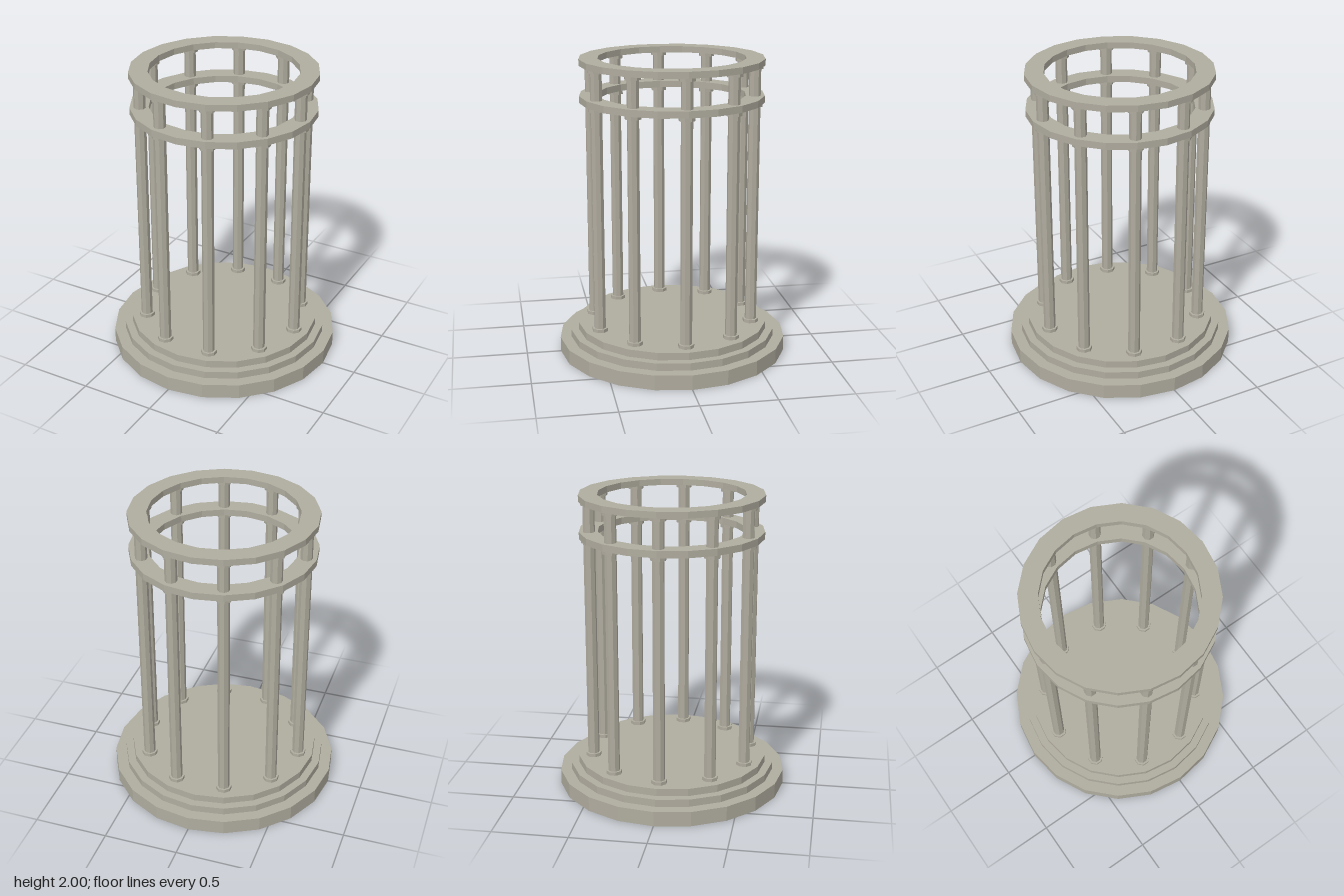
import * as THREE from 'three';

export function createModel() {
  const model = new THREE.Group();
  model.name = 'roundColonnade';
  const stone = new THREE.MeshStandardMaterial({ color: 0xb0ac9f });
  stone.name = 'stone';
  stone.flatShading = true;

  const SIDES = 20;
  const COLUMNS = 10;
  const COLUMN_CIRCLE = 0.542;

  function add(parent, name, geometry) {
    const mesh = new THREE.Mesh(geometry, stone);
    mesh.name = name;
    parent.add(mesh);
    return mesh;
  }

  // Upright prism spanning y0 to y1
  function prism(parent, name, radius, y0, y1, sides) {
    const mesh = add(parent, name, new THREE.CylinderGeometry(radius, radius, y1 - y0, sides));
    mesh.position.y = (y0 + y1) / 2;
    return mesh;
  }

  // Flat ring with a rectangular section
  function ring(name, inner, outer, y0, y1) {
    const section = [[outer, y0], [outer, y1], [inner, y1], [inner, y0], [outer, y0]];
    const points = section.map(([r, y]) => new THREE.Vector2(r, y));
    add(model, name, new THREE.LatheGeometry(points, SIDES));
  }

  // Stepped base
  prism(model, 'lowerStep', 0.77, 0, 0.1, SIDES);
  prism(model, 'middleStep', 0.695, 0.1, 0.15, SIDES);
  prism(model, 'upperStep', 0.643, 0.15, 0.2, SIDES);

  // Two ring beams
  ring('lowerRing', 0.485, 0.608, 1.715, 1.76);
  ring('upperRing', 0.485, 0.608, 1.958, 2);

  // Columns: tall shaft with foot and cap, then a short shaft between the rings
  for (let i = 0; i < COLUMNS; i++) {
    const angle = (i / COLUMNS) * Math.PI * 2;
    const column = new THREE.Group();
    column.name = 'column' + (i + 1);
    column.position.set(Math.cos(angle) * COLUMN_CIRCLE, 0, Math.sin(angle) * COLUMN_CIRCLE);
    prism(column, 'foot', 0.053, 0.2, 0.223, 8);
    prism(column, 'shaft', 0.039, 0.223, 1.689, 8);
    prism(column, 'cap', 0.053, 1.689, 1.715, 8);
    prism(column, 'shortShaft', 0.039, 1.76, 1.935, 8);
    prism(column, 'upperCap', 0.053, 1.935, 1.958, 8);
    column.children.forEach((part) => { part.rotation.y = Math.PI / 8; });
    model.add(column);
  }

  return model;
}
